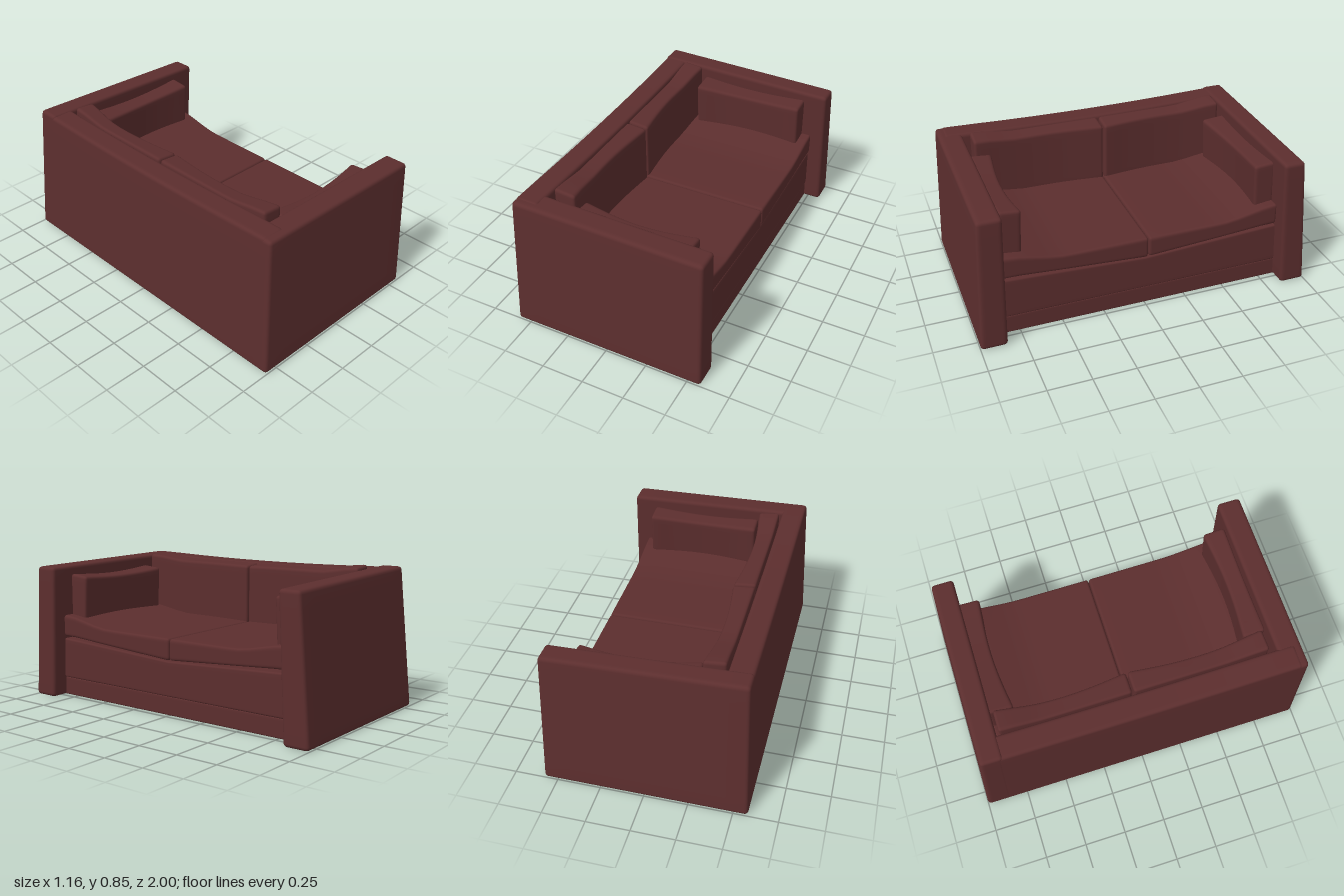
import * as THREE from 'three';
import { mergeVertices } from 'three/addons/utils/BufferGeometryUtils.js';

const upholstery = new THREE.MeshStandardMaterial({ color: 0x5c2e2e });
upholstery.name = 'maroon upholstery';

const lerp = THREE.MathUtils.lerp;

// Padded block with rounded edges between two corners, then bent by warp(point, u, v, w); u, v, w run 0..1.
function padded(name, min, max, r, warp) {
  const n = 14;
  const geo = new THREE.BoxGeometry(1, 1, 1, n, n, n);
  geo.deleteAttribute('uv');
  geo.deleteAttribute('normal');
  const lo = new THREE.Vector3(...min), hi = new THREE.Vector3(...max);
  const innerLo = lo.clone().addScalar(r), innerHi = hi.clone().subScalar(r);
  const pos = geo.attributes.position;
  const p = new THREE.Vector3(), core = new THREE.Vector3();
  // Two rows of the grid go to each rounded edge, the rest to the flat span
  const place = (t, a, b) => {
    const i = Math.round((t + 0.5) * n);
    if (i < 2) return a + r * i * 0.5;
    if (i > n - 2) return b - r * (n - i) * 0.5;
    return lerp(a + r, b - r, (i - 2) / (n - 4));
  };
  for (let i = 0; i < pos.count; i++) {
    p.set(place(pos.getX(i), lo.x, hi.x), place(pos.getY(i), lo.y, hi.y), place(pos.getZ(i), lo.z, hi.z));
    core.copy(p).clamp(innerLo, innerHi);
    p.sub(core);
    if (p.lengthSq() > 0) p.setLength(r);
    p.add(core);
    if (warp) warp(p, (p.x - lo.x) / (hi.x - lo.x), (p.y - lo.y) / (hi.y - lo.y), (p.z - lo.z) / (hi.z - lo.z));
    pos.setXYZ(i, p.x, p.y, p.z);
  }
  const smooth = mergeVertices(geo, 1e-5);
  smooth.computeVertexNormals();
  const mesh = new THREE.Mesh(smooth, upholstery);
  mesh.name = name;
  return mesh;
}

export function createModel() {
  const sofa = new THREE.Group();
  sofa.name = 'sofa';

  // Arms: upright slabs that lean inwards and slope down to the front
  const arms = [
    { name: 'nearArm', side: 1, outerTop: 0.965, innerTop: 0.825, backTop: 0.825 },
    { name: 'farArm', side: -1, outerTop: 0.93, innerTop: 0.80, backTop: 0.835 },
  ];
  for (const a of arms) {
    const z0 = a.side > 0 ? 0.845 : -1, z1 = a.side > 0 ? 1 : -0.845;
    sofa.add(padded(a.name, [-0.58, 0, z0], [0.58, 0.82, z1], 0.022, (p, u, v, w) => {
      const out = a.side > 0 ? w : 1 - w;
      p.x = lerp(lerp(-0.583, 0.58, u), lerp(-0.55, 0.57, u), v);
      p.y = v * lerp(a.backTop, 0.806, u);
      p.z = a.side * lerp(lerp(0.845, 1, out), lerp(a.innerTop, a.outerTop, out), v);
    }));
  }

  // Back rest: leans with the arms, its top dips in the middle
  sofa.add(padded('backRest', [-0.583, 0, -0.9], [-0.41, 0.828, 0.93], 0.022, (p, u, v) => {
    p.x += 0.033 * v * (1 - u);
    p.y -= 0.018 * v * Math.max(0, 1 - (p.z / 0.85) ** 2);
  }));

  // Base: plinth and front panel with a sagging top edge
  sofa.add(padded('plinth', [-0.5, 0.002, -0.86], [0.475, 0.115, 0.86], 0.008));
  sofa.add(padded('frontPanel', [-0.5, 0.112, -0.86], [0.48, 0.36, 0.86], 0.012, (p, u, v) => {
    p.y -= 0.042 * v * (1 - Math.min(1, Math.abs(p.z) / 0.83));
  }));

  for (const side of [1, -1]) {
    const label = side > 0 ? 'near' : 'far';
    const span = (a, b) => (side > 0 ? [a, b] : [-b, -a]);

    // Seat cushion: lifts towards the arm
    const [s0, s1] = side > 0 ? [-0.014, 0.835] : [-0.825, -0.018];
    sofa.add(padded(label + 'SeatCushion', [-0.42, 0.335, s0], [0.49, 0.45, s1], 0.016, (p, u, v) => {
      const t = Math.abs(p.z) / 0.83;
      const bottom = 0.325 + 0.05 * Math.min(1, t * 1.1);
      const top = 0.452 + 0.055 * THREE.MathUtils.smoothstep(t, 0.55, 1);
      p.y = lerp(bottom, top, v);
    }));

    // Back cushion: hollowed front, raised corner by the arm
    const [b0, b1] = side > 0 ? [-0.012, 0.785] : [-0.785, -0.022];
    sofa.add(padded(label + 'BackCushion', [-0.4, 0.43, b0], [-0.27, 0.812, b1], 0.018, (p, u, v, w) => {
      p.x -= 0.03 * u * Math.sin(Math.PI * w);
      const t = Math.abs(p.z);
      p.y += v * ((side > 0 ? 0.03 : 0.036) * THREE.MathUtils.smoothstep(t, 0.5, 0.78) - 0.012 * u);
    }));

    // Side pillow resting against the arm, hollowed along its length
    const [q0, q1] = span(side > 0 ? 0.69 : 0.67, 0.825);
    sofa.add(padded(label + 'SidePillow', [-0.26, 0.46, q0], [0.43, 0.76, q1], 0.02, (p, u, v, w) => {
      const inner = side > 0 ? 1 - w : w;
      const hollow = Math.sin(Math.PI * u);
      p.z += side * inner * (0.028 * hollow + (side < 0 ? 0.018 * u : 0) + 0.015 * (1 - v));
      p.y -= v * 0.02 * hollow + v * inner * 0.012;
    }));
  }
  return sofa;
}
